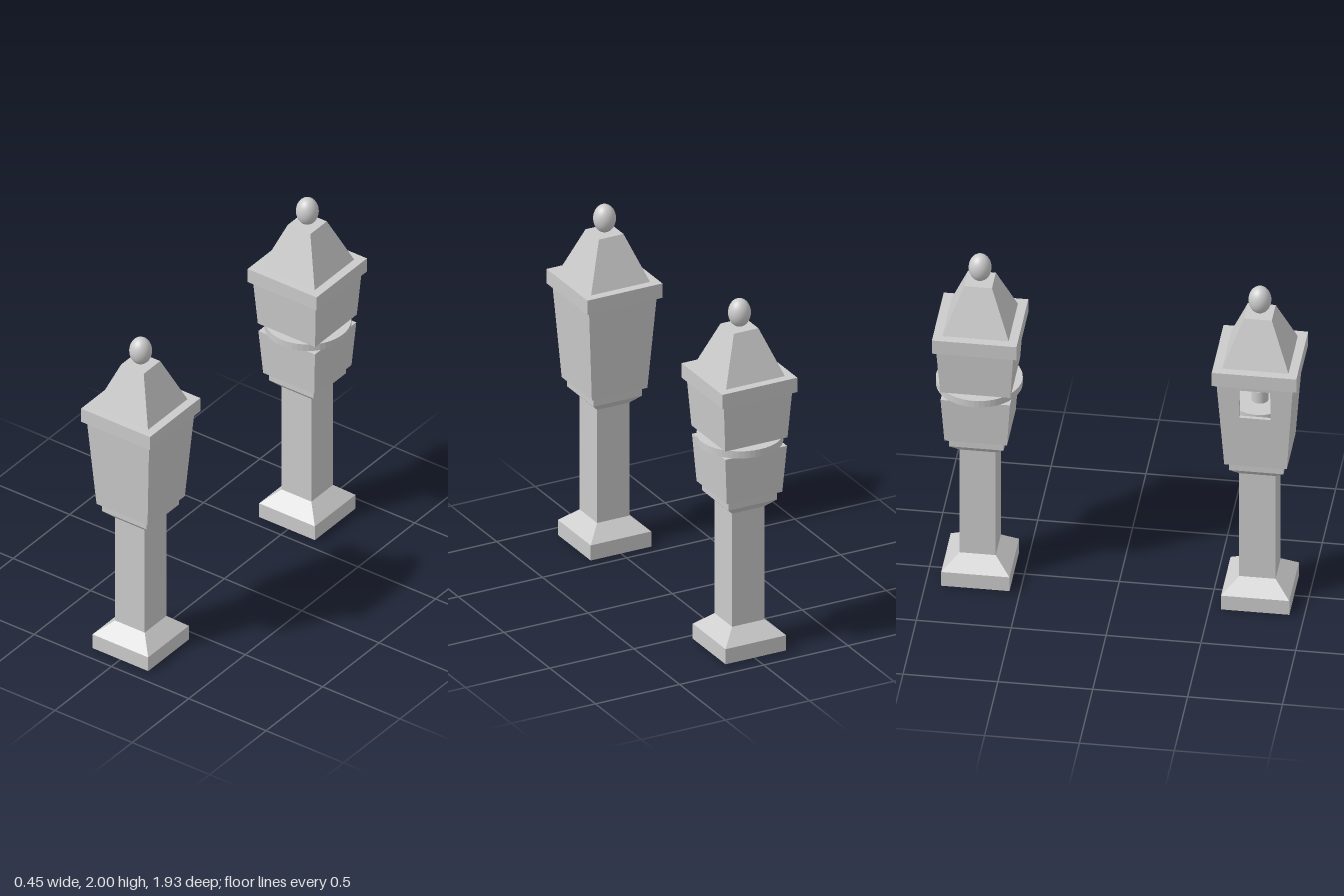
import * as THREE from 'three';

const mat = new THREE.MeshStandardMaterial({ color: 0xcccccc, flatShading: true, side: THREE.DoubleSide });
const smooth = new THREE.MeshStandardMaterial({ color: 0xcccccc });

function add(group, name, geometry, material = mat) {
  const mesh = new THREE.Mesh(geometry, material);
  mesh.name = name;
  group.add(mesh);
  return mesh;
}

// Square block from half width a at y0 to half width b at y1
function block(group, name, a, b, y0, y1) {
  const g = new THREE.CylinderGeometry(b * Math.SQRT2, a * Math.SQRT2, y1 - y0, 4);
  g.rotateY(Math.PI / 4);
  g.translate(0, (y0 + y1) / 2, 0);
  return add(group, name, g);
}

function disc(group, name, r, y0, y1) {
  const g = new THREE.CylinderGeometry(r, r, y1 - y0, 48);
  g.translate(0, (y0 + y1) / 2, 0);
  return add(group, name, g);
}

// Plinth, post and collar below the lantern
function stand(group) {
  block(group, 'plinth', 0.18, 0.18, 0, 0.087);
  block(group, 'plinthSlope', 0.18, 0.096, 0.087, 0.163);
  block(group, 'post', 0.096, 0.096, 0.163, 0.815);
  block(group, 'collarFlare', 0.096, 0.144, 0.815, 0.863);
  block(group, 'collar', 0.144, 0.144, 0.863, 0.912);
}

// Eave, tapered roof and egg-shaped finial, with the eave starting at y
function roof(group, y) {
  block(group, 'eave', 0.223, 0.223, y, y + 0.083);
  block(group, 'roof', 0.175, 0.073, y + 0.083, y + 0.34);
  const finial = add(group, 'finial', new THREE.SphereGeometry(1, 32, 24), smooth);
  finial.scale.set(0.06, 0.078, 0.06);
  finial.position.y = y + 0.418;
}

// Hollow lantern body with one window, made of four leaning walls
function hollowBody(group, a, b, y0, y1) {
  for (let i = 0; i < 4; i++) {
    const wall = new THREE.Shape([
      new THREE.Vector2(-a, y0), new THREE.Vector2(a, y0),
      new THREE.Vector2(b, y1), new THREE.Vector2(-b, y1)
    ]);
    if (i === 3) {
      wall.holes.push(new THREE.Path([
        new THREE.Vector2(-0.082, 1.23), new THREE.Vector2(-0.082, 1.41),
        new THREE.Vector2(0.082, 1.41), new THREE.Vector2(0.082, 1.23)
      ]));
    }
    const g = new THREE.ExtrudeGeometry(wall, { depth: 0.02, bevelEnabled: false });
    const p = g.attributes.position;
    for (let k = 0; k < p.count; k++) {
      const half = a + (b - a) * (p.getY(k) - y0) / (y1 - y0);
      p.setZ(k, p.getZ(k) - 0.02 + half);
    }
    g.computeVertexNormals();
    g.rotateY(i * Math.PI / 2);
    add(group, i === 3 ? 'windowWall' : 'wall', g);
  }
}

export function createModel() {
  const model = new THREE.Group();
  model.name = 'lampPosts';

  // Front post with the windowed lantern
  const front = new THREE.Group();
  front.name = 'frontPost';
  stand(front);
  block(front, 'lanternFloor', 0.164, 0.164, 0.912, 0.918);
  hollowBody(front, 0.165, 0.201, 0.912, 1.442);
  disc(front, 'innerDisc', 0.15, 1.19, 1.23);
  disc(front, 'spindle', 0.045, 0.915, 1.3);
  roof(front, 1.442);
  front.position.z = 0.741;
  model.add(front);

  // Back post with the lantern split by a disc
  const back = new THREE.Group();
  back.name = 'backPost';
  stand(back);
  block(back, 'lowerLantern', 0.165, 0.183, 0.912, 1.18);
  disc(back, 'dividerDisc', 0.227, 1.18, 1.221).position.z = -0.004;
  disc(back, 'spindle', 0.045, 1.18, 1.26);
  block(back, 'upperLantern', 0.185, 0.203, 1.229, 1.497);
  roof(back, 1.497);
  back.position.set(0, 0.009, -0.734);
  model.add(back);

  return model;
}
